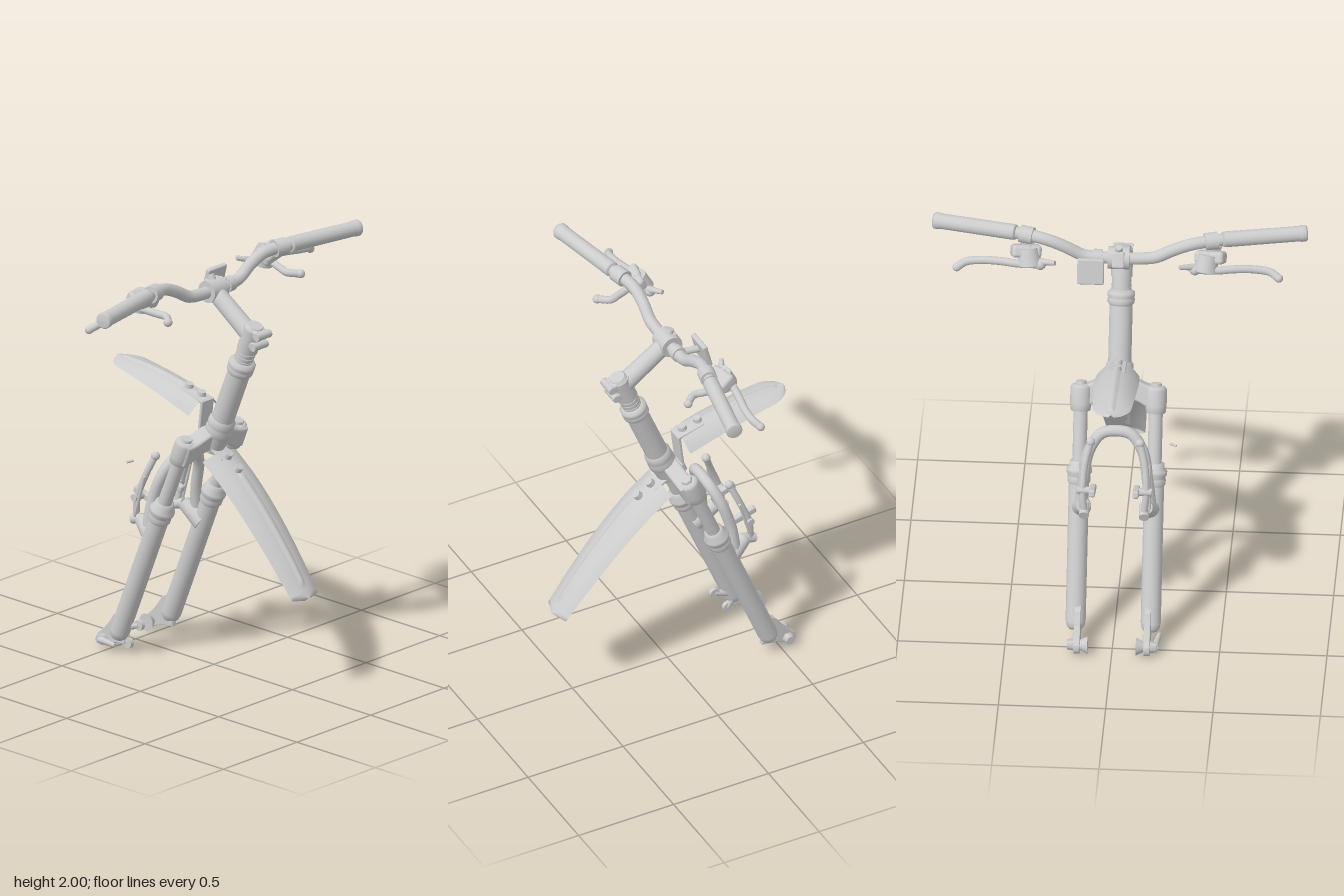
import * as THREE from 'three';
import { RoundedBoxGeometry } from 'three/addons/geometries/RoundedBoxGeometry.js';

const SLOPE = 0.405, TILT = Math.atan(SLOPE);
const mat = new THREE.MeshStandardMaterial({ color: 0xcccccc });
const thin = new THREE.MeshStandardMaterial({ color: 0xcccccc, side: THREE.DoubleSide });
const V = (x, y, z) => new THREE.Vector3(x, y, z);
// Point on the steering axis at height y, shifted sideways and in depth
const axis = (y, x = 0, off = 0) => V(x, y, 0.037 + SLOPE * (y - 1.186) + off);

export function createModel() {
  const root = new THREE.Group();
  const add = (name, geo, material = mat) => {
    const m = new THREE.Mesh(geo, material);
    m.name = name;
    root.add(m);
    return m;
  };
  const orient = (m, a, b) => {
    m.position.copy(a);
    m.quaternion.setFromUnitVectors(V(0, 1, 0), b.clone().sub(a).normalize());
    return m;
  };
  const rod = (name, a, b, r, r2 = r, seg = 24) => {
    const len = a.distanceTo(b);
    return orient(add(name, new THREE.CylinderGeometry(r2, r, len, seg).translate(0, len / 2, 0)), a, b);
  };
  // Turned part between two points; profile is [radius, fraction of length]
  const turned = (name, a, b, profile) => {
    const len = a.distanceTo(b);
    return orient(add(name, new THREE.LatheGeometry(profile.map(([r, t]) => new THREE.Vector2(r, t * len)), 32), thin), a, b);
  };
  const tube = (name, pts, r, seg = 32) =>
    add(name, new THREE.TubeGeometry(new THREE.CatmullRomCurve3(pts), seg, r, 14, false), thin);
  const ball = (name, p, r) => {
    const m = add(name, new THREE.SphereGeometry(r, 18, 12));
    m.position.copy(p);
    return m;
  };
  const box = (name, p, w, h, d, rx = 0, ry = 0, rz = 0) => {
    const m = add(name, new RoundedBoxGeometry(w, h, d, 3, Math.min(w, h, d) * 0.3));
    m.position.copy(p);
    m.rotation.set(rx, ry, rz);
    return m;
  };

  // Head tube with bearing cups
  rod('headTube', axis(1.17), axis(1.54), 0.054, 0.054, 32);
  turned('upperHeadsetCup', axis(1.49), axis(1.56), [[0.054, 0], [0.063, 0.15], [0.063, 0.4], [0.058, 0.45], [0.064, 0.55], [0.064, 0.8], [0.045, 1], [0, 1]]);
  turned('lowerHeadsetCup', axis(1.15), axis(1.24), [[0.056, 0], [0.066, 0.1], [0.066, 0.4], [0.061, 0.5], [0.064, 0.6], [0.064, 0.85], [0.054, 1]]);
  for (let i = 0; i < 4; i++) rod('spacer', axis(1.55 + i * 0.02), axis(1.567 + i * 0.02), 0.046);

  // Stem: steerer clamp, arm and handlebar clamp
  rod('steererTube', axis(1.54), axis(1.62), 0.041);
  rod('stemClamp', axis(1.615), axis(1.735), 0.05);
  rod('stemCap', axis(1.735), axis(1.75), 0.046, 0.036);
  rod('stemArm', axis(1.69), V(0, 1.86, -0.005), 0.046, 0.042);
  rod('barClamp', V(-0.05, 1.86, 0), V(0.05, 1.86, 0), 0.053);
  rod('barClampBolt', V(0, 1.89, -0.005), V(0, 1.93, -0.018), 0.022, 0.016, 12);
  box('barClampLug', V(0, 1.87, -0.035), 0.06, 0.08, 0.04, 0.5);
  for (const y of [1.655, 1.71]) {
    box('clampEar', axis(y, 0, 0.045), 0.08, 0.042, 0.05, TILT);
    rod('clampBolt', axis(y, -0.046, 0.062), axis(y, 0.046, 0.062), 0.019, 0.019, 12);
  }

  // Handlebar
  const half = [[0.1, 1.86, 0], [0.17, 1.87, 0], [0.25, 1.915, -0.005], [0.33, 1.948, -0.003], [0.42, 1.96, 0.015], [0.5, 1.962, 0.034]];
  tube('handlebar', [...half.slice().reverse().map(([x, y, z]) => V(-x, y, z)), V(0, 1.858, 0), ...half.map(p => V(...p))], 0.029, 90);

  for (const s of [-1, 1]) {
    const P = (x, y, z) => V(s * x, y, z);
    // Grips and hand controls
    turned('grip', P(0.48, 1.962, 0.03), P(0.87, 1.962, 0.108), [[0, 0], [0.034, 0], [0.037, 0.03], [0.036, 0.9], [0.039, 0.93], [0.039, 0.98], [0.033, 1], [0, 1]]);
    rod('leverClamp', P(0.4, 1.958, 0.01), P(0.46, 1.961, 0.025), 0.041);
    box('leverBody', P(0.43, 1.915, -0.05), 0.14, 0.06, 0.09, 0.5, s * 0.2, 0);
    rod('shifterHousing', P(0.41, 1.865, -0.085), P(0.42, 1.94, -0.06), 0.058, 0.045);
    rod('shifterCap', P(0.42, 1.935, -0.062), P(0.423, 1.95, -0.055), 0.026, 0.02);
    tube('brakeLever', [P(0.36, 1.875, -0.1), P(0.46, 1.875, -0.1), P(0.55, 1.876, -0.085), P(0.64, 1.868, -0.07), P(0.71, 1.857, -0.072), P(0.75, 1.838, -0.092)], 0.019);
    ball('leverTip', P(0.75, 1.838, -0.092), 0.02);
    ball('leverPivot', P(0.36, 1.875, -0.1), 0.026);
    rod('cableAdjuster', P(0.37, 1.885, -0.09), P(0.29, 1.905, -0.13), 0.018, 0.011, 12);
    tube('shiftLever', [P(0.44, 1.87, -0.05), P(0.42, 1.86, 0.03), P(0.41, 1.855, 0.08), P(0.45, 1.85, 0.13)], 0.018);
    ball('shiftLeverTip', P(0.45, 1.85, 0.13), 0.021);

    // Fork leg
    const L = (y, x = 0.175, off = -0.035) => axis(y, s * x, off);
    turned('crownSocket', L(1.035), L(1.155), [[0.034, 0], [0.046, 0.02], [0.05, 0.3], [0.05, 0.85], [0.044, 0.95], [0.032, 1], [0, 1]]);
    rod('legTopCap', L(1.15), L(1.167), 0.03, 0.026, 6);
    rod('stanchion', L(0.78), L(1.05), 0.033);
    turned('legSeal', L(0.715), L(0.815), [[0.048, 0], [0.054, 0.1], [0.054, 0.3], [0.05, 0.35], [0.06, 0.5], [0.06, 0.65], [0.047, 0.78], [0.045, 1], [0.033, 1]]);
    turned('lowerLeg', L(0.07), L(0.74), [[0, 0], [0.03, 0.004], [0.042, 0.025], [0.047, 0.06], [0.047, 1]]);

    // Dropout plate, traced in depth (first) and height (second)
    const plate = new THREE.Shape();
    plate.moveTo(-0.43, 0.2);
    plate.lineTo(-0.47, 0.18);
    plate.quadraticCurveTo(-0.52, 0.1, -0.575, 0.06);
    plate.quadraticCurveTo(-0.59, 0.02, -0.55, 0.01);
    plate.quadraticCurveTo(-0.5, 0.045, -0.41, 0.05);
    plate.closePath();
    const drop = add('dropout', new THREE.ExtrudeGeometry(plate, { depth: 0.022, bevelEnabled: true, bevelSize: 0.004, bevelThickness: 0.004, bevelSegments: 2 }).rotateY(-Math.PI / 2));
    drop.position.x = s * 0.163 + 0.011;
    rod('axleCone', P(0.113, 0.045, -0.54), P(0.15, 0.045, -0.54), 0.042, 0.022);
    rod('axle', P(0.14, 0.045, -0.54), P(0.2, 0.045, -0.54), 0.021);
    rod('axleNut', P(0.178, 0.045, -0.54), P(0.208, 0.045, -0.54), 0.028, 0.024, 6);

    // Rim brake: boss, arm, pad and link
    rod('brakeBossRoot', L(0.61, 0.165, -0.03), P(0.145, 0.685, -0.33), 0.05, 0.033);
    rod('brakePivot', P(0.14, 0.685, -0.32), P(0.14, 0.665, -0.385), 0.024);
    tube('brakeArm', [P(0.14, 0.68, -0.365), P(0.148, 0.78, -0.35), P(0.14, 0.9, -0.305), P(0.115, 1.0, -0.265)], 0.016);
    rod('brakeSpring', P(0.163, 0.69, -0.355), P(0.16, 0.9, -0.295), 0.007, 0.007, 8);
    box('brakePad', P(0.102, 0.785, -0.35), 0.03, 0.035, 0.12, 0.3);
    rod('padStud', P(0.1, 0.785, -0.35), P(0.175, 0.785, -0.35), 0.018, 0.018, 12);
    ball('brakeArmTip', P(0.115, 1.0, -0.265), 0.021);
  }

  // Fork crown, extruded along the tilted depth
  const crown = new THREE.Shape();
  crown.moveTo(-0.19, -0.06);
  crown.bezierCurveTo(-0.12, -0.06, -0.12, -0.015, -0.05, -0.015);
  crown.lineTo(0.05, -0.015);
  crown.bezierCurveTo(0.12, -0.015, 0.12, -0.06, 0.19, -0.06);
  crown.lineTo(0.19, 0.025);
  crown.bezierCurveTo(0.12, 0.03, 0.11, 0.05, 0.055, 0.065);
  crown.lineTo(-0.055, 0.065);
  crown.bezierCurveTo(-0.11, 0.05, -0.12, 0.03, -0.19, 0.025);
  const crownMesh = add('forkCrown', new THREE.ExtrudeGeometry(crown, { depth: 0.05, bevelSize: 0.012, bevelThickness: 0.015, bevelSegments: 4, curveSegments: 16 }).translate(0, 0, -0.025));
  crownMesh.position.copy(axis(1.11, 0, -0.02));
  crownMesh.rotation.x = TILT;
  rod('crownBase', axis(1.07), axis(1.18), 0.05, 0.064);

  // Brace arch joining the lower legs
  tube('braceArch', [V(-0.165, 0.65, -0.27), V(-0.15, 0.78, -0.255), V(-0.125, 0.92, -0.215), V(-0.07, 0.995, -0.185), V(0, 1.01, -0.18),
    V(0.07, 0.995, -0.185), V(0.125, 0.92, -0.215), V(0.15, 0.78, -0.255), V(0.165, 0.65, -0.27)], 0.027, 60);

  // Brake mount tabs on one leg
  for (const [y, z] of [[0.155, -0.33], [0.05, -0.4]]) {
    rod('mountTab', V(-0.165, y, z), V(-0.145, y, z), 0.025);
    rod('mountTabArm', V(-0.155, y, z), V(-0.155, 0.12, -0.44), 0.015, 0.02, 10);
  }
  rod('releaseLever', V(-0.2, 0.045, -0.54), V(-0.215, 0.045, -0.43), 0.018, 0.01, 12);
  rod('cableEnd', V(-0.285, 1.008, -0.287), V(-0.255, 1.012, -0.275), 0.006, 0.006, 8);

  // Reflector on the handlebar
  box('reflector', V(0.125, 1.855, -0.115), 0.125, 0.125, 0.025, 0.25);
  rod('reflectorBracket', V(0.1, 1.86, -0.01), V(0.115, 1.86, -0.11), 0.017);
  rod('reflectorBand', V(0.08, 1.86, 0), V(0.12, 1.862, 0), 0.037);

  // Mudguards: arched cross-sections swept along [z, y, half width, edge drop]
  const mudguard = (name, stations, tip) => {
    const path = new THREE.CatmullRomCurve3(stations.map(([z, y]) => V(0, y, z)));
    const size = new THREE.CatmullRomCurve3(stations.map(([, , w, d]) => V(w, d, 0)));
    const N = 48, M = 24, pos = [], idx = [];
    for (let i = 0; i <= N; i++) {
      const t = i / N, c = path.getPoint(t), tan = path.getTangent(t), k = size.getPoint(t);
      const e = Math.max(0, (t - 1 + tip) / tip), w = k.x * Math.sqrt(Math.max(0.02, 1 - e * e));
      const up = V(0, Math.abs(tan.z), -tan.y * Math.sign(tan.z));
      for (let j = 0; j <= M; j++) {
        const u = (j / M) * 2 - 1;
        const rib = Math.abs(u) < 0.1 && t > 0.2 && t < 0.9 ? 0.006 : 0;
        const h = rib - k.y * u * u;
        pos.push(u * w, c.y + up.y * h, c.z + up.z * h);
        if (i < N && j < M) {
          const a = i * (M + 1) + j, b = a + M + 1;
          idx.push(a, b, a + 1, b, b + 1, a + 1);
        }
      }
    }
    const g = new THREE.BufferGeometry();
    g.setAttribute('position', new THREE.Float32BufferAttribute(pos, 3));
    g.setIndex(idx);
    g.computeVertexNormals();
    return add(name, g, thin);
  };
  mudguard('lowerMudguard', [[0.06, 1.075, 0.115, 0.04], [0.2, 0.965, 0.114, 0.04], [0.35, 0.815, 0.108, 0.037], [0.49, 0.65, 0.098, 0.033], [0.612, 0.485, 0.086, 0.026]], 0.001);
  mudguard('upperMudguard', [[-0.05, 1.31, 0.1, 0.07], [-0.18, 1.345, 0.105, 0.06], [-0.36, 1.376, 0.1, 0.045], [-0.5, 1.386, 0.092, 0.025], [-0.613, 1.388, 0.085, 0.012]], 0.22);

  // Mudguard mounts and bolts
  box('lowerMudguardTongue', V(0, 1.075, 0.035), 0.09, 0.014, 0.12, 0.55);
  box('upperMudguardBracket', V(0, 1.205, -0.055), 0.08, 0.2, 0.015, 0.12);
  box('upperMudguardTongue', V(0, 1.315, -0.11), 0.08, 0.016, 0.14, 0.26);
  box('bracketFoot', V(0, 1.12, -0.055), 0.09, 0.06, 0.05, TILT);
  for (const [y, z] of [[1.055, 0.085], [1.005, 0.15]]) rod('lowerMudguardBolt', V(0, y, z), V(0, y + 0.02, z + 0.016), 0.022, 0.019, 16);
  for (const [y, z] of [[1.328, -0.08], [1.347, -0.16]]) rod('upperMudguardBolt', V(0, y - 0.01, z), V(0, y + 0.01, z + 0.005), 0.022, 0.019, 16);
  return root;
}
